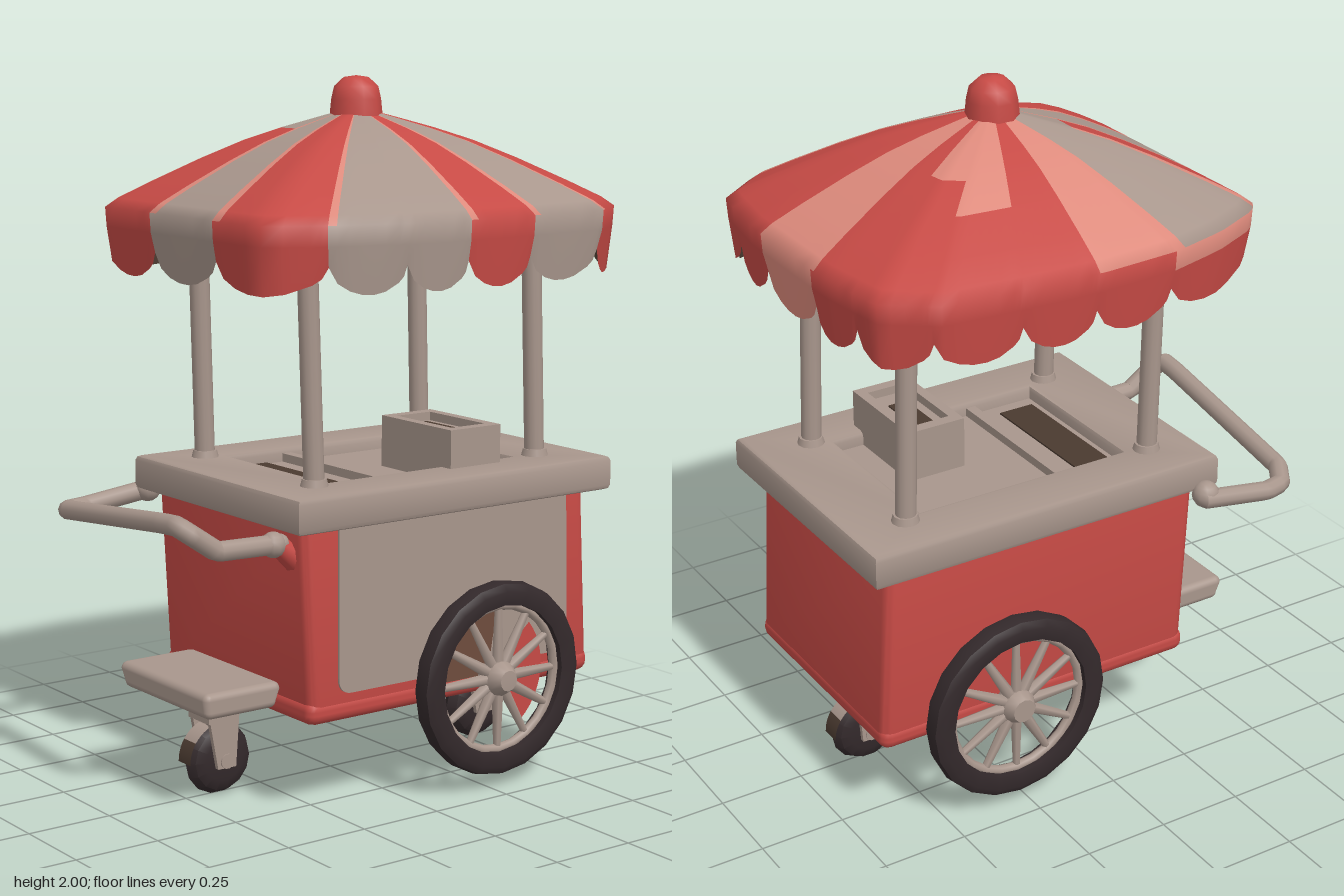
import * as THREE from 'three';
import { toCreasedNormals } from 'three/addons/utils/BufferGeometryUtils.js';
import { RoundedBoxGeometry } from 'three/addons/geometries/RoundedBoxGeometry.js';

const mat = (name, color) => Object.assign(new THREE.MeshStandardMaterial({ color }), { name });
const red = mat('red', 0xc64a45), grey = mat('warm grey', 0xa8968c), salmon = mat('salmon', 0xdd8a7c);
const black = mat('tyre black', 0x33292b), brown = mat('dark brown', 0x4a3a30), rust = mat('rust brown', 0x6e4c3d);
const V = (x, y, z) => new THREE.Vector3(x, y, z);

function add(parent, name, geo, material, x = 0, y = 0, z = 0) {
  const m = new THREE.Mesh(geo, material);
  m.name = name;
  m.position.set(x, y, z);
  parent.add(m);
  return m;
}

// Straight round bar between two points
function bar(parent, name, a, b, r0, r1, material, sides = 10) {
  const m = add(parent, name, new THREE.CylinderGeometry(r1, r0, a.distanceTo(b), sides), material);
  m.position.copy(a).lerp(b, 0.5);
  m.quaternion.setFromUnitVectors(V(0, 1, 0), b.clone().sub(a).normalize());
}

// Lathe turned so that its axis runs along x
function turnedX(profile, sides) {
  const g = new THREE.LatheGeometry(profile.map(p => new THREE.Vector2(...p)), sides).rotateZ(-Math.PI / 2);
  return toCreasedNormals(g, 0.8);
}

// Canopy panels: start angle in degrees, roof colour, valance colour
const panels = [
  [-13, grey, grey], [16, red, red], [47, grey, grey], [67, grey, grey], [87, red, red], [110, grey, grey],
  [132, red, red], [150, red, red], [167, salmon, salmon], [192, red, red], [208, red, red], [226, red, red],
  [246, red, red], [268, salmon, red], [293, grey, red], [326, red, red], [347],
];
// Half outline of the canopy rim around its centre
const rim = [[0, 0.6], [0.38, 0.6], [0.42, 0.56], [0.49, 0.41], [0.54, 0.23], [0.555, 0], [0.545, -0.2],
  [0.52, -0.47], [0.42, -0.6], [0.2, -0.63], [0, -0.63]];
function rimRadius(phi) {
  const s = Math.abs(Math.sin(phi)), c = Math.cos(phi);
  for (let i = 0; i < rim.length - 1; i++) {
    const [px, pz] = rim[i], [qx, qz] = rim[i + 1];
    if (s * qz - c * qx <= 1e-9) {
      return (px * qz - pz * qx) / (s * (qz - pz) - c * (qx - px));
    }
  }
  return 0.63;
}

function canopy(root) {
  const group = new THREE.Group();
  group.name = 'canopy';
  group.position.z = -0.09;
  root.add(group);
  const cols = [];
  for (let p = 0; p < panels.length - 1; p++) {
    const a = panels[p][0], w = panels[p + 1][0] - a;
    for (const u of [0, 0.1, 0.25, 0.4, 0.55, 0.7, 0.88, 0.95]) {
      cols.push({ p, seam: u === 0, phi: (a + u * w) * Math.PI / 180,
        low: 1.525 - 0.075 * Math.sqrt(Math.sin(Math.PI * u)) });
    }
  }
  // Rows of [radius factor, height]; null means the scalloped hem
  const roofRows = 7;
  const rows = [[0.02, 1.91], [0.15, 1.885], [0.3, 1.855], [0.45, 1.82], [0.62, 1.77], [0.82, 1.705], [0.95, 1.66],
    [1, 1.635], [0.995, 1.58], [0.975, null]];

  function sweep(name, colourOf, flip, scale = 1, drop = 0) {
    const pos = [], buckets = new Map(), n = cols.length;
    for (const [t, y] of rows) for (const c of cols) {
      const r = t * rimRadius(c.phi) * scale;
      pos.push(Math.sin(c.phi) * r, y === null ? c.low : y - drop, Math.cos(c.phi) * r);
    }
    for (let i = 0; i < rows.length - 1; i++) for (let j = 0; j < n; j++) {
      const k = (j + 1) % n, m = colourOf(cols[j], i);
      const a = i * n + j, b = a + n, d = i * n + k, c = d + n;
      if (!buckets.has(m)) buckets.set(m, []);
      buckets.get(m).push(...(flip ? [a, d, b, b, d, c] : [a, b, d, b, c, d]));
    }
    const geo = new THREE.BufferGeometry(), index = [], mats = [...buckets.keys()];
    geo.setAttribute('position', new THREE.Float32BufferAttribute(pos, 3));
    mats.forEach((m, i) => {
      geo.addGroup(index.length, buckets.get(m).length, i);
      index.push(...buckets.get(m));
    });
    geo.setIndex(index);
    geo.computeVertexNormals();
    add(group, name, geo, mats);
  }
  sweep('canopyCloth', (c, i) => {
    const [, roof, valance] = panels[c.p];
    if (i >= roofRows) return c.p === 14 && i === roofRows ? salmon : valance;
    // Faded patch near the peak, and the stripe that starts below it
    if ((c.p === 10 && i < 3) || (c.p === 11 && i < 4)) return salmon;
    if (c.p === 15 && i < 2) return grey;
    return c.seam && panels[(c.p + 15) % 16][1] !== roof ? salmon : roof;
  });
  sweep('canopyLining', () => brown, true, 0.985, 0.012);
  const knob = [[0.075, 0], [0.07, 0.05], [0.062, 0.085], [0.035, 0.11], [0, 0.115]].map(p => new THREE.Vector2(...p));
  add(group, 'canopyKnob', new THREE.LatheGeometry(knob, 10), red, 0, 1.885, 0);
}

function cartWheel(root, side) {
  const g = new THREE.Group();
  g.name = side > 0 ? 'leftWheel' : 'rightWheel';
  g.position.set(side * 0.42, 0.32, -0.28);
  root.add(g);
  add(g, 'tyre', turnedX([[0.215, -0.03], [0.255, -0.038], [0.276, -0.025], [0.281, 0], [0.276, 0.025],
    [0.255, 0.038], [0.215, 0.03], [0.215, -0.03]], 20), black);
  add(g, 'wheelRim', new THREE.TorusGeometry(0.21, 0.014, 8, 24).rotateY(Math.PI / 2), grey);
  for (let i = 0; i < 12; i++) {
    const a = i * Math.PI / 6;
    bar(g, 'spoke', V(0, 0, 0), V(0, Math.cos(a) * 0.21, Math.sin(a) * 0.21), 0.019, 0.011, grey, 6);
  }
  add(g, 'hub', turnedX([[0, -0.045], [0.035, -0.045], [0.05, -0.02], [0.05, 0.02], [0.03, 0.05], [0, 0.052]], 12), grey);
  bar(g, 'axle', V(-side * 0.09, 0, 0), V(0, 0, 0), 0.025, 0.025, grey);
}

function caster(root, name, z, facing) {
  const g = new THREE.Group();
  g.name = name;
  g.position.set(0, 0.105, z);
  root.add(g);
  add(g, 'casterTyre', turnedX([[0, -0.035], [0.06, -0.038], [0.09, -0.028], [0.105, 0], [0.09, 0.028], [0.06, 0.038], [0, 0.035]], 14), black);
  const blade = new THREE.Shape([[-0.03, -0.02], [0.03, -0.02], [0.065, 0.17], [-0.045, 0.17]].map(p => new THREE.Vector2(...p)));
  for (const s of [-1, 1]) {
    const fork = new THREE.ExtrudeGeometry(blade, { depth: 0.014, bevelEnabled: false });
    add(g, 'casterFork', fork.translate(0, 0, -0.007).rotateY(-Math.PI / 2), grey, s * 0.045);
  }
  // Curved guard over the outer side of the tyre
  [brown, grey].forEach((m, i) => {
    const start = facing > 0 ? -0.6 * (i + 1) : Math.PI + 0.6 * i;
    add(g, 'casterGuard', new THREE.CylinderGeometry(0.109, 0.109, 0.06, 5, 1, true, start, 0.6).rotateZ(-Math.PI / 2), m);
  });
  add(g, 'casterCrown', new THREE.BoxGeometry(0.104, 0.06, 0.1), grey, 0, 0.145, 0.01);
  bar(g, 'casterAxle', V(-0.056, 0, 0), V(0.056, 0, 0), 0.022, 0.022, grey);
}

export function createModel() {
  const root = new THREE.Group();
  root.name = 'vendorCart';

  // Tapered cabinet
  const body = new RoundedBoxGeometry(0.73, 0.57, 1, 3, 0.03);
  const p = body.attributes.position;
  for (let i = 0; i < p.count; i++) {
    p.setZ(i, p.getZ(i) + p.getY(i) / 0.57 * 0.03);
  }
  body.computeVertexNormals();
  add(root, 'cabinet', toCreasedNormals(body, 0.7), red, 0, 0.55, -0.16);
  add(root, 'cabinetFoot', new RoundedBoxGeometry(0.736, 0.07, 1.01, 2, 0.03), red, 0, 0.3, -0.17);

  // Left side panel with rounded lower corners, and the bare patch behind the wheel
  const panel = new THREE.Shape();
  panel.moveTo(-0.24, 0.82).lineTo(-0.24, 0.39).quadraticCurveTo(-0.24, 0.345, -0.195, 0.345);
  panel.lineTo(0.54, 0.345).quadraticCurveTo(0.58, 0.345, 0.58, 0.39).lineTo(0.57, 0.82);
  const panelGeo = new THREE.ExtrudeGeometry(panel, { depth: 0.009, bevelEnabled: false });
  add(root, 'sidePanel', panelGeo.translate(0, 0, -0.0045).rotateY(Math.PI / 2), grey, 0.367);
  add(root, 'wheelPatch', new THREE.CircleGeometry(0.2, 12, -0.9, 1.6).rotateY(Math.PI / 2), red, 0.375, 0.32, -0.28);
  add(root, 'wheelPatch', new THREE.CircleGeometry(0.2, 12, 1.4, 1.75).rotateY(Math.PI / 2), rust, 0.375, 0.32, -0.28);

  // Counter frame with a sunken tray
  const rect = (Type, x, z0, z1) => new Type([[-x, z0], [x, z0], [x, z1], [-x, z1]].map(q => new THREE.Vector2(...q)));
  const frame = rect(THREE.Shape, 0.395, -0.385, 0.69);
  frame.holes.push(rect(THREE.Path, 0.26, -0.2, 0.49));
  const counter = new THREE.ExtrudeGeometry(frame, { depth: 0.07, bevelThickness: 0.015, bevelSize: 0.015, bevelSegments: 2 });
  add(root, 'counter', toCreasedNormals(counter.rotateX(-Math.PI / 2), 0.7), grey, 0, 0.825, 0);
  add(root, 'trayFloor', new THREE.BoxGeometry(0.56, 0.03, 0.74), grey, 0, 0.855, -0.145);
  add(root, 'trayStain', new THREE.BoxGeometry(0.44, 0.006, 0.11), brown, -0.02, 0.872, 0.11);
  add(root, 'trayDivider', new THREE.BoxGeometry(0.5, 0.03, 0.03), grey, 0, 0.88, -0.02);

  // Open box on the counter
  const bin = rect(THREE.Shape, 0.16, -0.09, 0.09);
  bin.holes.push(rect(THREE.Path, 0.125, -0.06, 0.06));
  const binGeo = new THREE.ExtrudeGeometry(bin, { depth: 0.165, bevelEnabled: false }).rotateX(-Math.PI / 2);
  add(root, 'counterBox', binGeo, grey, 0.14, 0.855, -0.29);
  add(root, 'counterBoxFloor', new THREE.BoxGeometry(0.26, 0.02, 0.13), grey, 0.14, 0.985, -0.29);
  add(root, 'counterBoxStain', new THREE.BoxGeometry(0.16, 0.006, 0.06), brown, 0.12, 0.996, -0.29);

  // Posts with collars
  for (const x of [-0.27, 0.27]) for (const [z0, z1] of [[0.25, 0.275], [-0.535, -0.51]]) {
    bar(root, 'canopyPost', V(x, 0.88, z0), V(x * 0.98, 1.71, z1), 0.029, 0.029, grey, 12);
    bar(root, 'postCollar', V(x, 0.9, z0), V(x, 0.93, z0), 0.042, 0.034, grey, 12);
  }
  canopy(root);

  // Push handle
  const path = new THREE.CurvePath();
  const pts = [V(-0.44, 0.8, 0.33), V(-0.45, 0.77, 0.55), V(-0.435, 0.77, 0.61), V(-0.37, 0.785, 0.65),
    V(0.2, 0.85, 0.69), V(0.27, 0.855, 0.693), V(0.287, 0.83, 0.66), V(0.29, 0.775, 0.58), V(0.29, 0.77, 0.38)];
  for (let i = 0; i < pts.length - 1; i++) path.add(new THREE.LineCurve3(pts[i], pts[i + 1]));
  add(root, 'pushHandle', new THREE.TubeGeometry(path, 90, 0.028, 10), grey);
  add(root, 'handleEnd', new THREE.SphereGeometry(0.028, 10, 8), grey, 0.29, 0.77, 0.38);
  add(root, 'handleJoint', new THREE.SphereGeometry(0.036, 12, 8), grey, 0.29, 0.77, 0.4);
  add(root, 'handleJoint', new THREE.SphereGeometry(0.04, 12, 8), grey, -0.425, 0.805, 0.35);
  bar(root, 'handleBracket', V(0.29, 0.725, 0.33), V(0.29, 0.765, 0.385), 0.04, 0.028, red);

  // Front step, narrower underneath
  const step = new RoundedBoxGeometry(0.45, 0.075, 0.25, 3, 0.02);
  const q = step.attributes.position;
  for (let i = 0; i < q.count; i++) {
    if (q.getY(i) < 0) q.setXYZ(i, q.getX(i) * 0.97, q.getY(i), q.getZ(i) * 0.93);
  }
  add(root, 'frontStep', step, grey, 0, 0.327, 0.452);

  for (const s of [-1, 1]) cartWheel(root, s);
  caster(root, 'frontCaster', 0.395, 1);
  caster(root, 'rearCaster', -0.54, -1);
  return root;
}
